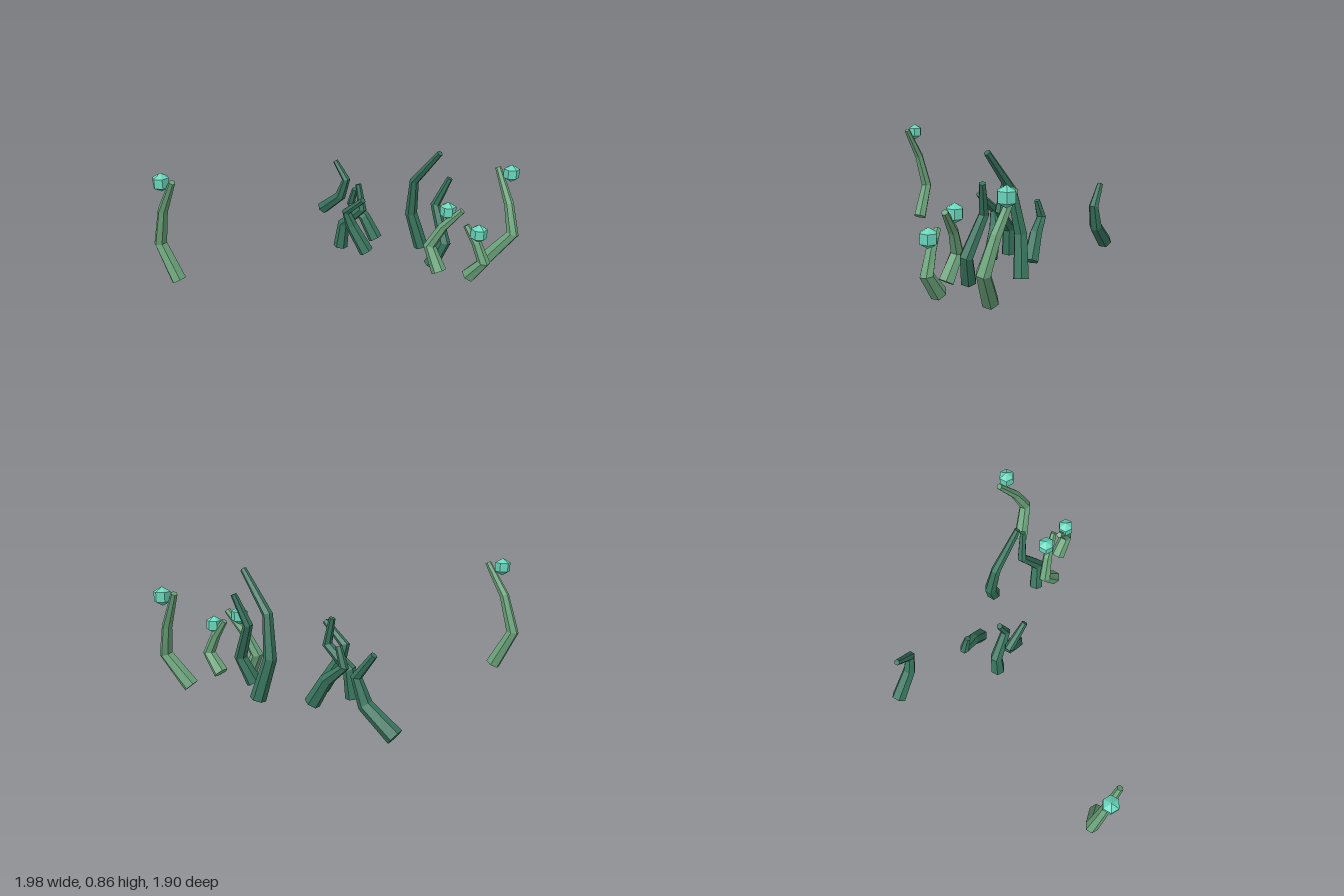
import * as THREE from 'three';

const SIDES = 6;
const RADII = [0.055, 0.046, 0.035, 0.022];

// Tapered, bent stalk: a mitred ring at each path point, closed at both ends
function stalkGeometry(path) {
  const pts = path.map(p => new THREE.Vector3(...p));
  const pos = [], index = [];
  const last = pts.length - 1;
  pts.forEach((p, i) => {
    const t = new THREE.Vector3();
    if (i > 0) t.add(p.clone().sub(pts[i - 1]).normalize());
    if (i < last) t.add(pts[i + 1].clone().sub(p).normalize());
    t.normalize();
    const u = new THREE.Vector3(0, 0, 1).addScaledVector(t, -t.z).normalize();
    const v = t.clone().cross(u);
    for (let j = 0; j < SIDES; j++) {
      const a = (j / SIDES) * Math.PI * 2;
      const q = p.clone()
        .addScaledVector(u, RADII[i] * Math.cos(a))
        .addScaledVector(v, RADII[i] * Math.sin(a));
      pos.push(q.x, q.y, q.z);
    }
  });
  for (let i = 0; i < last; i++) {
    for (let j = 0; j < SIDES; j++) {
      const k = (j + 1) % SIDES;
      const a = i * SIDES + j, b = i * SIDES + k;
      index.push(a, b, b + SIDES, a, b + SIDES, a + SIDES);
    }
  }
  const top = last * SIDES;
  for (let j = 1; j < SIDES - 1; j++) {
    index.push(0, j + 1, j, top, top + j, top + j + 1);
  }
  const g = new THREE.BufferGeometry();
  g.setAttribute('position', new THREE.Float32BufferAttribute(pos, 3));
  g.setIndex(index);
  const flat = g.toNonIndexed();
  flat.computeVertexNormals();
  return flat;
}

// Plain stalks, from base to tip
const DARK_STALKS = [
  [[-0.83, 0.045, -0.85], [-0.637, 0.2, -0.85], [-0.577, 0.36, -0.85], [-0.69, 0.505, -0.85]],
  [[-0.1, 0.03, -0.59], [-0.2, 0.2, -0.575], [-0.32, 0.297, -0.56], [-0.273, 0.425, -0.545]],
  [[-0.26, 0.015, -0.335], [-0.235, 0.21, -0.345], [-0.07, 0.365, -0.355], [-0.115, 0.55, -0.365]],
  [[-0.005, 0.037, -0.325], [-0.125, 0.235, -0.295], [-0.155, 0.35, -0.27], [0.016, 0.487, -0.24]],
  [[0.26, 0.02, -0.695], [0.187, 0.295, -0.65], [0.23, 0.58, -0.605], [0.463, 0.85, -0.55]],
  [[0.49, 0.025, -0.44], [0.575, 0.21, -0.475], [0.457, 0.465, -0.53], [0.543, 0.675, -0.565]],
];

// Stalks that carry a floating bulb near the tip
const LIGHT_STALKS = [
  { path: [[-0.815, 0.03, 0.835], [-0.95, 0.29, 0.855], [-0.866, 0.56, 0.875], [-0.72, 0.795, 0.895]],
    bulb: [-0.834, 0.773, 0.893] },
  { path: [[0.61, 0.037, -0.35], [0.513, 0.21, -0.37], [0.6, 0.37, -0.395], [0.73, 0.515, -0.417]],
    bulb: [0.62, 0.49, -0.418] },
  { path: [[0.808, 0.037, -0.422], [0.92, 0.175, -0.414], [0.86, 0.31, -0.405], [0.777, 0.425, -0.397]],
    bulb: [0.876, 0.388, -0.397] },
  { path: [[0.785, 0.042, -0.76], [0.955, 0.26, -0.81], [0.89, 0.47, -0.85], [0.763, 0.715, -0.895]],
    bulb: [0.868, 0.687, -0.898] },
];

export function createModel() {
  const model = new THREE.Group();
  model.name = 'stalkPatch';

  const material = (name, color) => {
    const m = new THREE.MeshStandardMaterial({ color, flatShading: true });
    m.name = name;
    return m;
  };
  const darkGreen = material('darkGreen', 0x38745e);
  const lightGreen = material('lightGreen', 0x6ca57c);
  const mint = material('mint', 0x6ad6bc);

  const add = (name, geometry, mat) => {
    const mesh = new THREE.Mesh(geometry, mat);
    mesh.name = name;
    model.add(mesh);
    return mesh;
  };

  DARK_STALKS.forEach((path, i) => add(`plainStalk${i + 1}`, stalkGeometry(path), darkGreen));

  const bulbGeometry = new THREE.SphereGeometry(0.065, 6, 3).rotateY(Math.PI / 2);
  LIGHT_STALKS.forEach(({ path, bulb }, i) => {
    add(`bulbStalk${i + 1}`, stalkGeometry(path), lightGreen);
    add(`bulb${i + 1}`, bulbGeometry, mint).position.set(...bulb);
  });

  return model;
}
